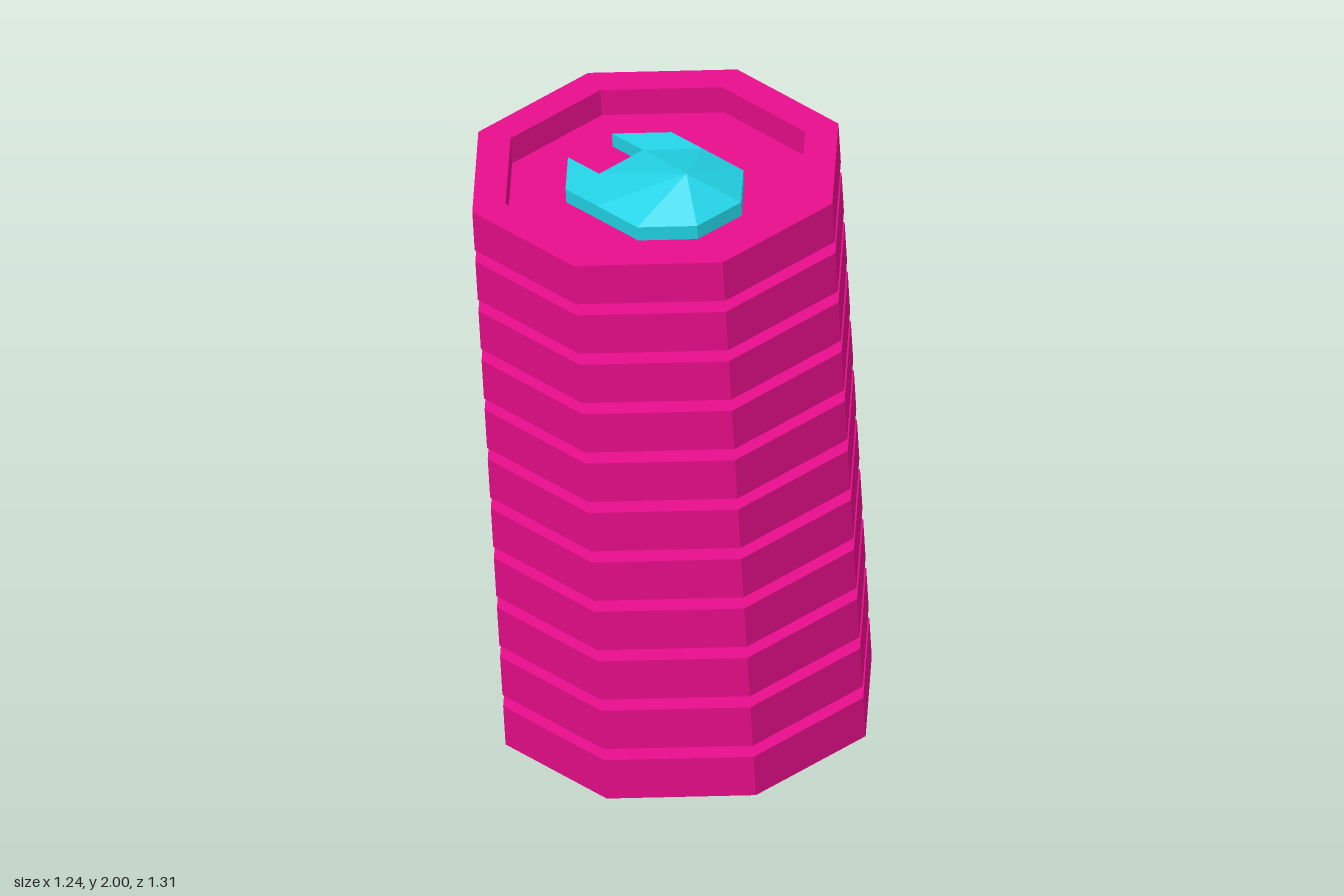
import * as THREE from 'three';

const COUNT = 11, SPACING = 0.178;
const RADIUS = 0.594, HEIGHT = 0.138;      // outer octagon
const INNER = 0.486, FLOOR = 0.048;        // recess in the top face
const TWIST = 0.075;                       // small turn of the octagons
const PLATE = 0.047, PEAK = 0.088, EMBLEM_R = 0.238;

const pink = new THREE.MeshStandardMaterial({ color: 0xe60d8a, flatShading: true });
const cyan = new THREE.MeshStandardMaterial({ color: 0x22d3e6, flatShading: true });

function named(geometry, material, name) {
  const mesh = new THREE.Mesh(geometry, material);
  mesh.name = name;
  return mesh;
}

// Octagonal tray: solid underside, raised rim, sunken floor
function trayGeometry() {
  const profile = [[0, 0], [RADIUS, 0], [RADIUS, HEIGHT], [INNER, HEIGHT], [INNER, FLOOR], [0, FLOOR]]
    .map(([x, y]) => new THREE.Vector2(x, y));
  return new THREE.LatheGeometry(profile, 8).rotateY(-TWIST);
}

// Octagonal plate with two hooked arms on one side
function plateGeometry() {
  const arm = [-0.125, -0.062];
  const corner = (k, out = 0) => {
    const a = TWIST + k * Math.PI / 4;
    return new THREE.Vector2(
      Math.cos(a) * EMBLEM_R + out * arm[0],
      -(Math.sin(a) * EMBLEM_R + out * arm[1]));
  };
  const outline = [
    corner(0), corner(1), corner(2), corner(3), corner(3, 1), corner(4, 1),
    corner(4), corner(5), corner(5, 1), corner(6, 1), corner(6), corner(7),
  ];
  return new THREE.ExtrudeGeometry(new THREE.Shape(outline), { depth: PLATE, bevelEnabled: false })
    .rotateX(-Math.PI / 2);
}

// Low eight-sided peak, sheared so its tip sits off centre
function peakGeometry() {
  const geometry = new THREE.ConeGeometry(EMBLEM_R, PEAK, 8, 1, true)
    .translate(0, PEAK / 2, 0).rotateY(-TWIST);
  const p = geometry.attributes.position;
  for (let i = 0; i < p.count; i++) {
    const t = p.getY(i) / PEAK;
    p.setX(i, p.getX(i) + 0.073 * t);
    p.setZ(i, p.getZ(i) + 0.039 * t);
  }
  geometry.computeVertexNormals();
  return geometry.translate(0, PLATE, 0);
}

export function createModel() {
  const model = new THREE.Group();
  const stack = new THREE.Group();
  stack.name = 'stack';
  model.add(stack);

  const tray = trayGeometry(), plate = plateGeometry(), peak = peakGeometry();
  for (let i = 0; i < COUNT; i++) {
    const disc = new THREE.Group();
    disc.name = 'disc' + (i + 1);
    disc.position.y = i * SPACING;

    const emblem = new THREE.Group();
    emblem.name = 'emblem';
    emblem.position.set(0.058, FLOOR, 0.033);
    emblem.add(named(plate, cyan, 'emblemPlate'), named(peak, cyan, 'emblemPeak'));

    disc.add(named(tray, pink, 'tray'), emblem);
    stack.add(disc);
  }

  // The whole stack leans slightly
  const axis = new THREE.Vector3(-0.031, 1, 0.068).normalize();
  stack.quaternion.setFromUnitVectors(new THREE.Vector3(0, 1, 0), axis);
  stack.position.set(0.029, 0.044, -0.066);
  return model;
}
